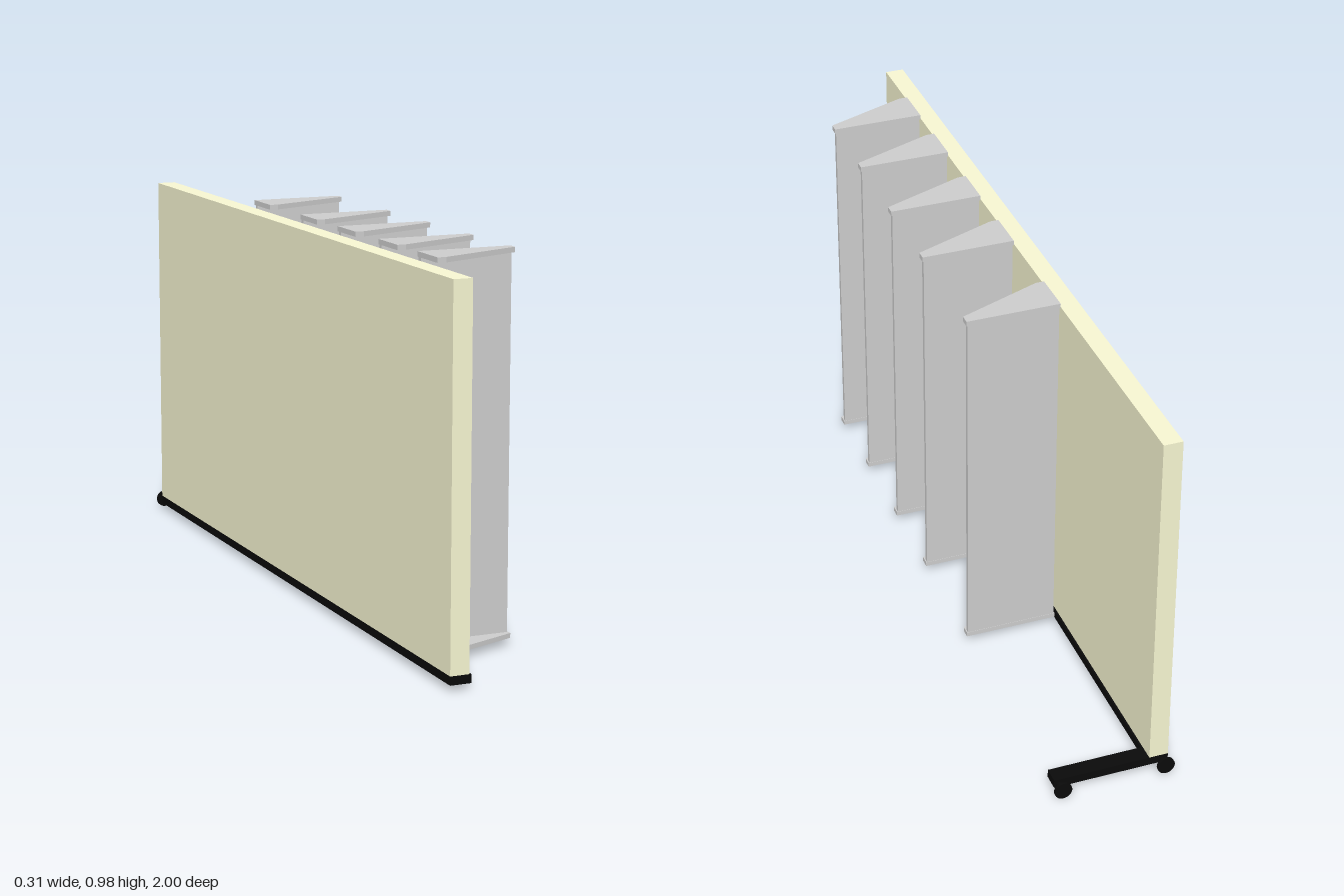
import * as THREE from 'three';

const grey = new THREE.MeshStandardMaterial({ color: 0xcccccc });
const cream = new THREE.MeshStandardMaterial({ color: 0xf6f5d1 });
const black = new THREE.MeshStandardMaterial({ color: 0x0a0a0a });

// Box given by its minimum and maximum corners
function box(name, material, [x0, y0, z0], [x1, y1, z1]) {
  const mesh = new THREE.Mesh(new THREE.BoxGeometry(x1 - x0, y1 - y0, z1 - z0), material);
  mesh.position.set((x0 + x1) / 2, (y0 + y1) / 2, (z0 + z1) / 2);
  mesh.name = name;
  return mesh;
}

// Disc or rod lying along z
function rod(name, radius, x, z0, z1) {
  const mesh = new THREE.Mesh(new THREE.CylinderGeometry(radius, radius, z1 - z0, 32), black);
  mesh.rotation.x = Math.PI / 2;
  mesh.position.set(x, 0.0225, (z0 + z1) / 2);
  mesh.name = name;
  return mesh;
}

// Tapered bracket plate, outlined in x and z with its back edge at z = 0
function bracketGeometry(thickness) {
  const outline = [[-0.095, 0], [0.148, 0], [0.148, 0.025], [-0.073, 0.112], [-0.095, 0.112]];
  const shape = new THREE.Shape(outline.map(([x, z]) => new THREE.Vector2(x, -z)));
  return new THREE.ExtrudeGeometry(shape, { depth: thickness, bevelEnabled: false })
    .rotateX(-Math.PI / 2);
}

// Upright fin between two tapered brackets
function createFin(z) {
  const fin = new THREE.Group();
  fin.name = 'fin';
  fin.position.z = z;
  fin.add(box('finPanel', grey, [-0.092, 0.03, 0.001], [0.145, 0.967, 0.013]));
  for (const [name, y, thickness] of [['topBracket', 0.966, 0.013], ['bottomBracket', 0.019, 0.012]]) {
    const bracket = new THREE.Mesh(bracketGeometry(thickness), grey);
    bracket.name = name;
    bracket.position.y = y;
    fin.add(bracket);
  }
  return fin;
}

export function createModel() {
  const model = new THREE.Group();
  model.name = 'partitionWithFins';

  // Wall panel on its base rail
  model.add(box('wallPanel', cream, [-0.15, 0.037, -0.973], [-0.101, 0.96, 1]));
  model.add(box('baseRail', black, [-0.15, 0.015, -0.973], [-0.096, 0.037, 1]));

  // Cross arm at the back end, with two mounting discs on short axles
  model.add(box('crossArm', black, [-0.096, 0.015, -0.973], [0.148, 0.037, -0.93]));
  for (const x of [-0.135, 0.134]) {
    model.add(rod('axle', 0.008, x, -0.995, -0.97));
    model.add(rod('mountingDisc', 0.0225, x, -1, -0.993));
  }

  // Row of fins along the wall
  for (const z of [0.688, 0.463, 0.213, -0.032, -0.354]) model.add(createFin(z));

  return model;
}
